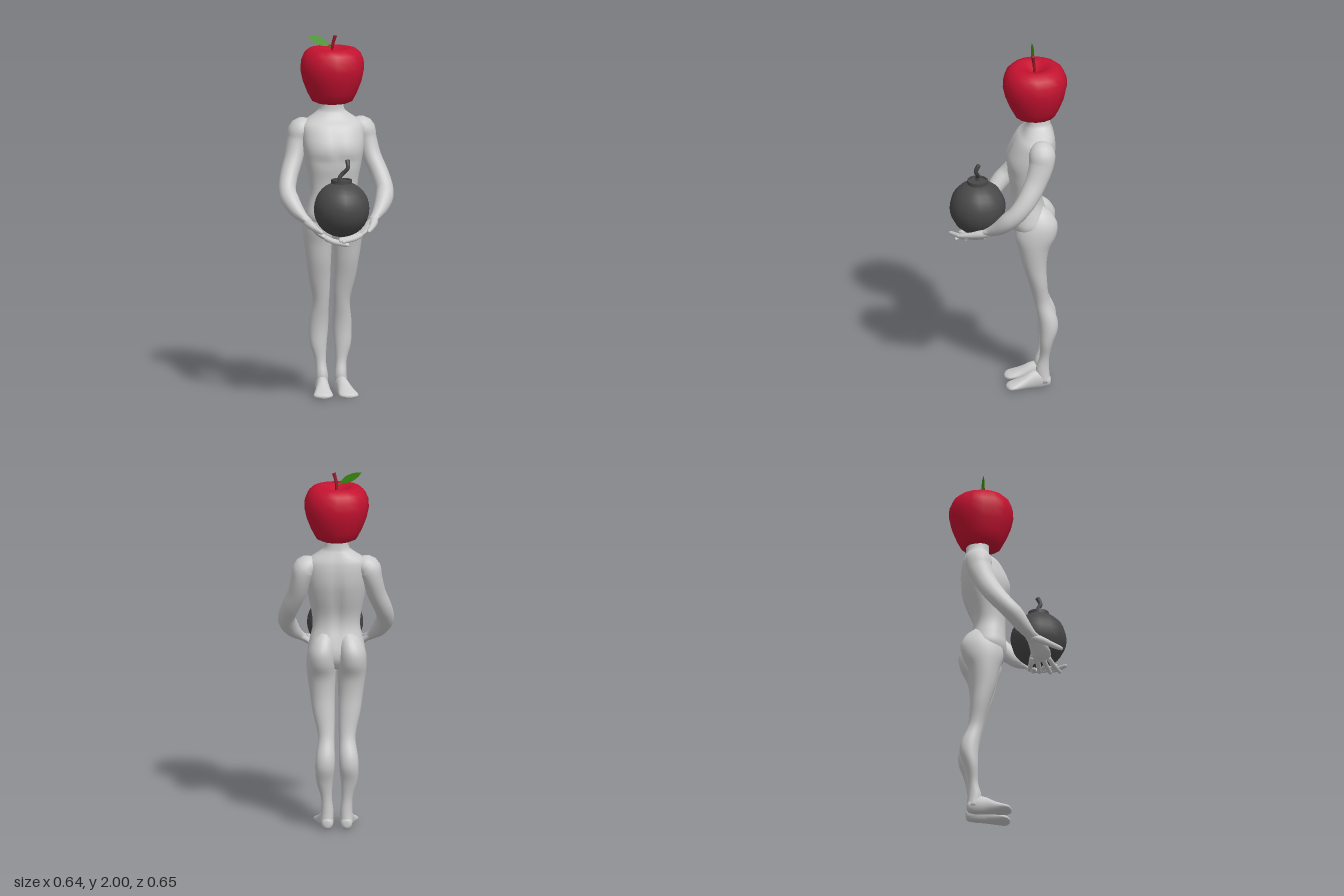
import * as THREE from 'three';

const V = (x, y, z) => new THREE.Vector3(x, y, z);
const material = (color, extra = {}) => new THREE.MeshStandardMaterial({ color, ...extra });
const skin = material(0xcccccc);
const red = material(0xc41230);
const black = material(0x484848);

function addMesh(parent, name, geometry, mat) {
  const mesh = new THREE.Mesh(geometry, mat);
  mesh.name = name;
  parent.add(mesh);
  return mesh;
}

// Smooth skin through sections [x, y, z, ra, rb]; ra lies along ref, rb across it.
function loft(sections, { ref, axis, steps = 4, sides = 20, power = 1, deform } = {}) {
  const centres = new THREE.CatmullRomCurve3(sections.map(s => V(s[0], s[1], s[2])), false, 'catmullrom');
  const radii = new THREE.CatmullRomCurve3(sections.map(s => V(s[3], s[4], 0)), false, 'catmullrom');
  const rows = (sections.length - 1) * steps;
  const positions = [], index = [];
  const bend = v => Math.sign(v) * Math.pow(Math.abs(v), power);
  for (let k = -1; k <= rows + 1; k++) {
    const t = Math.min(Math.max(k / rows, 0), 1);
    const closed = k < 0 || k > rows ? 0 : 1;
    const c = centres.getPoint(t), r = radii.getPoint(t);
    const T = axis || centres.getTangent(t);
    const A = ref.clone().addScaledVector(T, -ref.dot(T)).normalize();
    const B = T.clone().cross(A);
    for (let j = 0; j < sides; j++) {
      const a = (j / sides) * Math.PI * 2;
      const p = c.clone()
        .addScaledVector(A, bend(Math.cos(a)) * r.x * closed)
        .addScaledVector(B, bend(Math.sin(a)) * r.y * closed);
      if (deform) deform(p);
      positions.push(p.x, p.y, p.z);
    }
  }
  for (let i = 0; i < rows + 2; i++) {
    for (let j = 0; j < sides; j++) {
      const a = i * sides + j, b = i * sides + (j + 1) % sides;
      index.push(a, b, a + sides, b, b + sides, a + sides);
    }
  }
  const g = new THREE.BufferGeometry();
  g.setAttribute('position', new THREE.Float32BufferAttribute(positions, 3));
  g.setIndex(index);
  g.computeVertexNormals();
  return g;
}

const bump = (v, centre, width) => Math.exp(-(((v - centre) / width) ** 2));

function buildTorso(parent) {
  // height, half width, front z, back z
  const profile = [
    [0.90, 0.06, -0.07, -0.19], [0.95, 0.13, -0.03, -0.22], [1.00, 0.155, -0.015, -0.225],
    [1.06, 0.145, -0.018, -0.212], [1.13, 0.13, -0.02, -0.195], [1.20, 0.135, -0.018, -0.2],
    [1.30, 0.155, 0, -0.235], [1.38, 0.168, 0.006, -0.258], [1.45, 0.172, -0.02, -0.265],
    [1.50, 0.168, -0.05, -0.262], [1.53, 0.14, -0.08, -0.255], [1.56, 0.095, -0.1, -0.245],
    [1.59, 0.067, -0.11, -0.237], [1.66, 0.062, -0.11, -0.235],
  ];
  const sections = profile.map(([y, w, f, b]) => [0, y, (f + b) / 2, w, (f - b) / 2]);
  // spine, breastbone and the crease under the chest
  const deform = p => {
    if (p.z < -0.16) {
      p.z += 0.016 * bump(p.x, 0, 0.025) * bump(p.y, 1.28, 0.2);
    } else if (p.z > -0.09) {
      p.z -= 0.009 * bump(p.x, 0, 0.02) * bump(p.y, 1.38, 0.09);
      p.z -= 0.007 * bump(p.y, 1.31, 0.02) * bump(Math.abs(p.x), 0.07, 0.06);
    }
  };
  addMesh(parent, 'torso', loft(sections, {
    ref: V(1, 0, 0), axis: V(0, 1, 0), sides: 48, power: 0.86, deform,
  }), skin);
}

function buildLeg(parent, s, side) {
  const leg = [
    [0.055, 0.03, -0.2, 0.034, 0.034], [0.052, 0.1, -0.19, 0.034, 0.037],
    [0.057, 0.18, -0.2, 0.03, 0.027], [0.067, 0.27, -0.21, 0.045, 0.036],
    [0.066, 0.35, -0.223, 0.053, 0.05], [0.063, 0.42, -0.217, 0.052, 0.052],
    [0.058, 0.5, -0.192, 0.045, 0.044], [0.06, 0.56, -0.178, 0.049, 0.044],
    [0.07, 0.65, -0.162, 0.06, 0.052], [0.077, 0.75, -0.145, 0.068, 0.065],
    [0.082, 0.85, -0.141, 0.077, 0.083], [0.084, 0.93, -0.149, 0.081, 0.113],
    [0.082, 1.0, -0.157, 0.076, 0.113], [0.073, 1.06, -0.155, 0.058, 0.085],
    [0.065, 1.1, -0.15, 0.03, 0.045],
  ].map(([x, ...rest]) => [s * x, ...rest]);
  addMesh(parent, side + 'Leg', loft(leg, { ref: V(1, 0, 0), axis: V(0, 1, 0), sides: 24 }), skin);

  const foot = [
    [0.053, 0.035, -0.235, 0.014, 0.018], [0.053, 0.036, -0.222, 0.03, 0.034],
    [0.053, 0.045, -0.18, 0.036, 0.055], [0.057, 0.04, -0.13, 0.037, 0.052],
    [0.064, 0.027, -0.08, 0.045, 0.036], [0.07, 0.018, -0.03, 0.054, 0.022],
    [0.071, 0.014, -0.005, 0.046, 0.016], [0.068, 0.012, 0.01, 0.02, 0.008],
  ].map(([x, ...rest]) => [s * x, ...rest]);
  addMesh(parent, side + 'Foot', loft(foot, {
    ref: V(1, 0, 0), axis: V(0, 0, 1), deform: p => { p.y = Math.max(p.y, 0); },
  }), skin);
}

function buildArm(parent, s, side) {
  const flip = list => list.map(([x, ...rest]) => [s * x, ...rest]);
  const arm = flip([
    [0.11, 1.49, -0.175, 0.045, 0.04], [0.17, 1.472, -0.178, 0.072, 0.066],
    [0.194, 1.41, -0.172, 0.068, 0.056], [0.217, 1.32, -0.14, 0.06, 0.052],
    [0.252, 1.23, -0.09, 0.055, 0.05], [0.27, 1.16, -0.035, 0.05, 0.048],
    [0.26, 1.11, 0.015, 0.049, 0.049], [0.232, 1.06, 0.06, 0.042, 0.04],
    [0.2, 1.025, 0.1, 0.033, 0.027], [0.17, 1.0, 0.13, 0.032, 0.02],
  ]);
  addMesh(parent, side + 'Arm', loft(arm, { ref: V(0, 0, 1) }), skin);

  // the right hand lies just below the left one
  const drop = s < 0 ? 0.025 : 0, shift = s < 0 ? -0.03 : 0;
  const palm = flip([
    [0.21, 1.03, 0.09, 0.022, 0.03], [0.17, 0.998, 0.13, 0.019, 0.04],
    [0.125, 0.96 - drop / 2, 0.165, 0.016, 0.055], [0.09, 0.935 - drop / 2, 0.18 + shift / 2, 0.012, 0.056],
    [0.075, 0.929 - drop / 2, 0.185 + shift / 2, 0.008, 0.045],
  ]);
  addMesh(parent, side + 'Palm', loft(palm, { ref: V(-0.5 * s, 0.85, 0) }), skin);

  [0.315, 0.262, 0.2, 0.14].forEach((tipZ, i) => {
    const z0 = 0.225 - i * 0.03 + shift / 2, z1 = tipZ + shift;
    const tipX = [-0.022, -0.03, -0.022, 0.01][i];
    const y0 = 0.942 - drop / 2, y1 = 0.92 - drop - i * 0.003;
    const at = (u, r) => [
      0.1 + (tipX - 0.1) * u, y0 + (y1 - y0) * Math.sqrt(u), z0 + (z1 - z0) * u, r, r,
    ];
    const finger = flip([at(0, 0.013), at(0.35, 0.014), at(0.7, 0.012), at(0.93, 0.01), at(1, 0.004)]);
    addMesh(parent, side + 'Finger' + (i + 1), loft(finger, { ref: V(0, 1, 0), sides: 10 }), skin);
  });

  const thumb = flip([
    [0.19, 1.01, 0.11, 0.02, 0.02], [0.178, 0.998, 0.16, 0.022, 0.023], [0.162, 0.985, 0.21, 0.017, 0.017],
    [0.142, 0.975, 0.255, 0.014, 0.014], [0.131, 0.97, 0.28, 0.01, 0.01], [0.128, 0.969, 0.288, 0.004, 0.004],
  ]);
  addMesh(parent, side + 'Thumb', loft(thumb, { ref: V(0, 1, 0), sides: 12 }), skin);
}

function buildApple(parent) {
  const apple = new THREE.Group();
  apple.name = 'appleHead';
  apple.position.z = -0.153;
  parent.add(apple);
  const profile = [
    [0, 1.645], [0.05, 1.63], [0.085, 1.62], [0.112, 1.632], [0.138, 1.68], [0.164, 1.745], [0.177, 1.805],
    [0.174, 1.855], [0.157, 1.895], [0.13, 1.919], [0.1, 1.926], [0.065, 1.916], [0.03, 1.893], [0, 1.88],
  ].map(([r, y]) => new THREE.Vector2(r, y));
  addMesh(apple, 'fruit', new THREE.LatheGeometry(profile, 16), red);

  const stem = [
    [0, 1.875, 0, 0.008, 0.008], [0, 1.93, 0.005, 0.008, 0.008],
    [0.008, 1.97, 0.01, 0.009, 0.009], [0.015, 1.993, 0.013, 0.011, 0.01],
  ];
  addMesh(apple, 'stem', loft(stem, { ref: V(1, 0, 0), sides: 8 }), material(0x9a1828));

  // leaf outline, cupped along its midrib
  const outline = new THREE.Shape();
  outline.moveTo(0, 0);
  outline.bezierCurveTo(0.025, 0.034, 0.085, 0.036, 0.132, 0.004);
  outline.bezierCurveTo(0.095, -0.024, 0.04, -0.026, 0, 0);
  const leafGeometry = new THREE.ShapeGeometry(outline, 10);
  const pos = leafGeometry.attributes.position;
  for (let i = 0; i < pos.count; i++) pos.setZ(i, pos.getY(i) * 0.3);
  leafGeometry.rotateX(Math.PI).rotateZ(Math.PI - 0.46);
  leafGeometry.computeVertexNormals();
  const leaf = addMesh(apple, 'leaf', leafGeometry, material(0x3f9410, { side: THREE.DoubleSide }));
  leaf.position.set(-0.02, 1.935, 0.008);
  const stalk = new THREE.LineCurve3(V(0, 1.925, 0.004), V(-0.025, 1.938, 0.008));
  addMesh(apple, 'leafStalk', new THREE.TubeGeometry(stalk, 1, 0.003, 6), leaf.material);
}

function buildBomb(parent) {
  const bomb = new THREE.Group();
  bomb.name = 'bomb';
  bomb.position.set(0, 1.08, 0.162);
  parent.add(bomb);
  addMesh(bomb, 'ball', new THREE.SphereGeometry(0.154, 16, 16), black);
  const collar = [[0.057, 0.12], [0.057, 0.163], [0.048, 0.163], [0.048, 0.155], [0, 0.155]]
    .map(([r, y]) => new THREE.Vector2(r, y));
  const collarGeometry = new THREE.LatheGeometry(collar, 24).toNonIndexed();
  collarGeometry.computeVertexNormals();
  addMesh(bomb, 'collar', collarGeometry, black);
  const fuse = [
    [-0.01, 0.15, 0, 0.011, 0.011], [-0.01, 0.175, 0, 0.011, 0.011], [0.008, 0.198, 0, 0.011, 0.011],
    [0.03, 0.222, 0.012, 0.011, 0.011], [0.034, 0.245, 0.008, 0.012, 0.012], [0.033, 0.268, -0.004, 0.013, 0.013],
  ];
  addMesh(bomb, 'fuse', loft(fuse, { ref: V(0, 0, 1), sides: 10 }), black);
}

export function createModel() {
  const model = new THREE.Group();
  model.name = 'appleHeadedFigure';
  buildTorso(model);
  for (const [s, side] of [[1, 'left'], [-1, 'right']]) {
    buildLeg(model, s, side);
    buildArm(model, s, side);
  }
  buildApple(model);
  buildBomb(model);
  return model;
}
